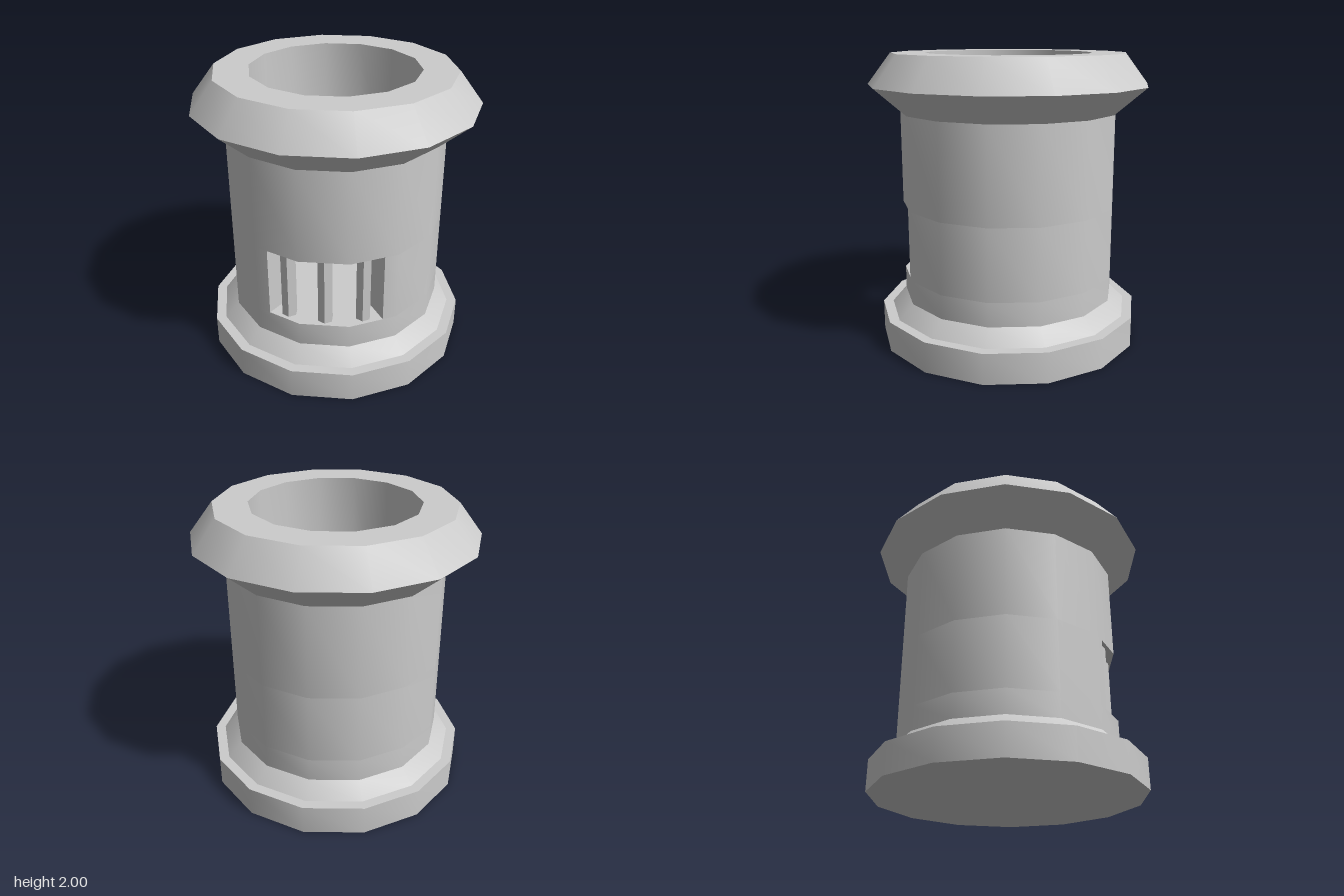
import * as THREE from 'three';
import { toCreasedNormals } from 'three/addons/utils/BufferGeometryUtils.js';

const SIDES = 14;
const STEP = (Math.PI * 2) / SIDES;
const START = -0.107; // slight turn of the whole polygon
const OUTER = 0.75, INNER = 0.57;
const SILL = 0.475, LINTEL = 0.965, FLOOR = 0.31;
const WINDOW_MID = START - STEP / 2;
const WINDOW_HALF = 0.545;

export function createModel() {
  const group = new THREE.Group();
  const material = new THREE.MeshStandardMaterial({ color: 0xcccccc });

  const add = (name, geometry) => {
    const mesh = new THREE.Mesh(geometry, material);
    mesh.name = name;
    group.add(mesh);
    return mesh;
  };

  const turned = (name, profile) => add(name, toCreasedNormals(
    new THREE.LatheGeometry(profile.map(([r, y]) => new THREE.Vector2(r, y)), SIDES, START), 0.6));

  // Point on the polygonal wall at an angle, lying on the flat facet
  const onWall = (radius, angle) => {
    const facet = Math.floor((angle - START) / STEP + 1e-6);
    const mid = START + (facet + 0.5) * STEP;
    const r = (radius * Math.cos(STEP / 2)) / Math.cos(angle - mid);
    return new THREE.Vector2(r * Math.sin(angle), -r * Math.cos(angle));
  };

  // Flared foot and wall below the window, with the inside floor
  turned('base', [
    [0, 0], [0.92, 0], [0.92, 0.21], [0.85, 0.21], [OUTER, 0.31],
    [OUTER, SILL], [INNER, SILL], [INNER, FLOOR], [0, FLOOR],
  ]);

  // Wall around the window: an open ring
  const angles = [WINDOW_MID + WINDOW_HALF];
  for (let k = 1; k <= SIDES - 2; k++) angles.push(START + k * STEP);
  angles.push(WINDOW_MID - WINDOW_HALF + Math.PI * 2);
  const ring = new THREE.Shape([
    ...angles.map((a) => onWall(OUTER, a)),
    ...[...angles].reverse().map((a) => onWall(INNER, a)),
  ]);
  const wall = new THREE.ExtrudeGeometry(ring, { depth: LINTEL - SILL, bevelEnabled: false });
  wall.rotateX(-Math.PI / 2).translate(0, SILL, 0);
  add('windowWall', toCreasedNormals(wall, 0.6));

  // Wall above the window, and the rim
  turned('upperWallAndRim', [
    [INNER, LINTEL], [OUTER, LINTEL], [OUTER, 1.605], [0.965, 1.79],
    [0.805, 2], [INNER, 2], [INNER, LINTEL],
  ]);

  // Upright bars in the window
  for (let i = -1; i <= 1; i++) {
    const angle = WINDOW_MID + i * 0.385;
    const bar = add('windowBar', new THREE.CylinderGeometry(0.053, 0.053, LINTEL - SILL, 6).toNonIndexed());
    bar.geometry.computeVertexNormals();
    bar.position.set(0.66 * Math.sin(angle), (SILL + LINTEL) / 2, 0.66 * Math.cos(angle));
    bar.rotation.y = WINDOW_MID;
  }

  return group;
}
